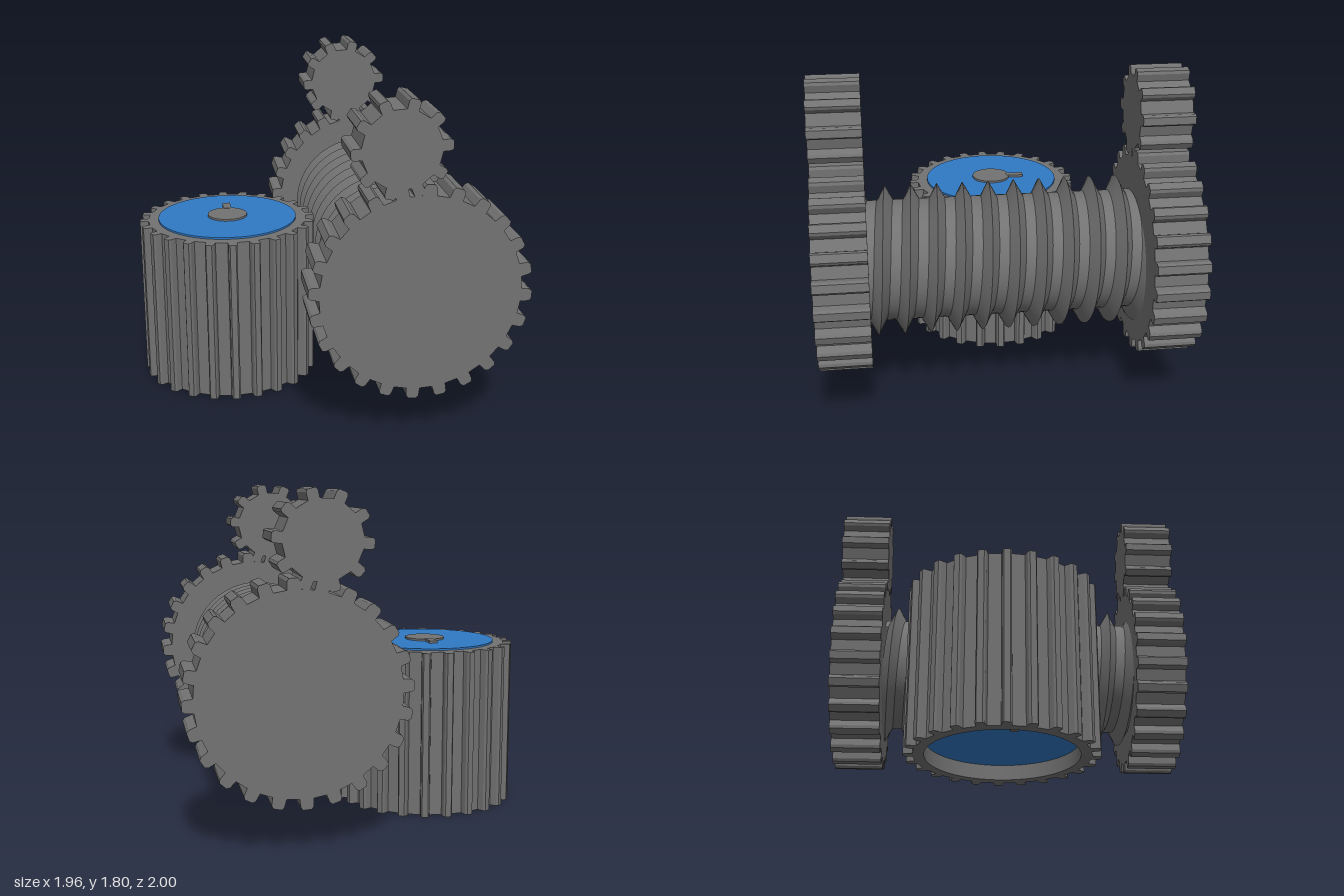
import * as THREE from 'three';
import { mergeVertices } from 'three/addons/utils/BufferGeometryUtils.js';

const steel = new THREE.MeshStandardMaterial({ color: 0x727272 });
steel.name = 'grey steel';
const blue = new THREE.MeshStandardMaterial({ color: 0x2f78c4 });
blue.name = 'blue dial';

// Gear outline with chamfered, tapered teeth
function gearShape(teeth, root, tip, phase, half = 0.26) {
  const pitch = (Math.PI * 2) / teeth;
  const chamfer = (tip - root) * 0.25;
  const tooth = [
    [-half, root], [-half * 0.85, tip - chamfer], [-half * 0.55, tip],
    [half * 0.55, tip], [half * 0.85, tip - chamfer], [half, root],
  ];
  const points = [];
  for (let i = 0; i < teeth; i++) {
    for (const [f, r] of tooth) {
      const a = phase + (i + f) * pitch;
      points.push(new THREE.Vector2(r * Math.cos(a), r * Math.sin(a)));
    }
  }
  return new THREE.Shape(points);
}

function extrude(shape, depth) {
  return new THREE.ExtrudeGeometry(shape, { depth, bevelEnabled: false, curveSegments: 64 });
}

// V-shaped thread: each face of the profile is swept along a helix
function wormGeometry(core, crest, pitch, zStart, turns) {
  const w = 0.043;
  const profile = [[-w, core], [0, crest], [w, core], [pitch - w, core]];
  const steps = Math.round(turns * 48);
  const positions = [];
  const indices = [];
  for (let k = 0; k < 3; k++) {
    const base = positions.length / 3;
    for (let i = 0; i <= steps; i++) {
      const turn = i / 48;
      const a = turn * Math.PI * 2;
      for (const [dz, r] of [profile[k], profile[k + 1]]) {
        positions.push(r * Math.cos(a), r * Math.sin(a), zStart - pitch * turn + dz);
      }
      if (i < steps) {
        const p = base + i * 2;
        indices.push(p, p + 2, p + 3, p, p + 3, p + 1);
      }
    }
  }
  const g = new THREE.BufferGeometry();
  g.setAttribute('position', new THREE.Float32BufferAttribute(positions, 3));
  g.setIndex(indices);
  g.computeVertexNormals();
  return mergeVertices(g);
}

export function createModel() {
  const model = new THREE.Group();
  const add = (name, geometry, material, x, y, z, parent = model) => {
    const mesh = new THREE.Mesh(geometry, material);
    mesh.name = name;
    mesh.position.set(x, y, z);
    parent.add(mesh);
    return mesh;
  };

  // Worm screw between the two end gears
  add('wormScrew', wormGeometry(0.325, 0.403, 0.14, 0.797, 11.4), steel, 0.395, 0.8, 0);

  // A large gear and a small pinion at each end
  const bigGear = extrude(gearShape(24, 0.515, 0.57, -0.055), 0.28);
  const pinion = extrude(gearShape(10, 0.2, 0.252, 0.08, 0.23), 0.28);
  for (const [end, z] of [['front', 0.72], ['back', -1]]) {
    add(end + 'LargeGear', bigGear, steel, 0.41, 0.805, z);
    add(end + 'Pinion', pinion, steel, 0.295, 1.55, z);
  }

  // Upright fluted drum holding the dial
  const drum = new THREE.Group();
  drum.name = 'drum';
  drum.position.set(-0.487, 0, -0.055);
  model.add(drum);
  const ring = gearShape(24, 0.45, 0.498, 0, 0.22);
  ring.holes.push(new THREE.Path().absarc(0, 0, 0.393, 0, Math.PI * 2, true));
  add('flutedDrum', extrude(ring, 0.91).rotateX(-Math.PI / 2), steel, 0, 0, 0, drum);

  // Dial: proud of the top, recessed underneath
  add('dial', new THREE.CylinderGeometry(0.393, 0.393, 0.84, 64), blue, 0, 0.5, 0, drum);
  add('dialHub', new THREE.CylinderGeometry(0.112, 0.112, 0.012, 40), steel, 0, 0.925, 0, drum);
  add('dialPointer', new THREE.BoxGeometry(0.045, 0.015, 0.1), steel, 0.005, 0.926, -0.145, drum);
  add('lowerPointer', new THREE.BoxGeometry(0.16, 0.012, 0.04), steel, -0.25, 0.076, 0.05, drum);

  return model;
}
